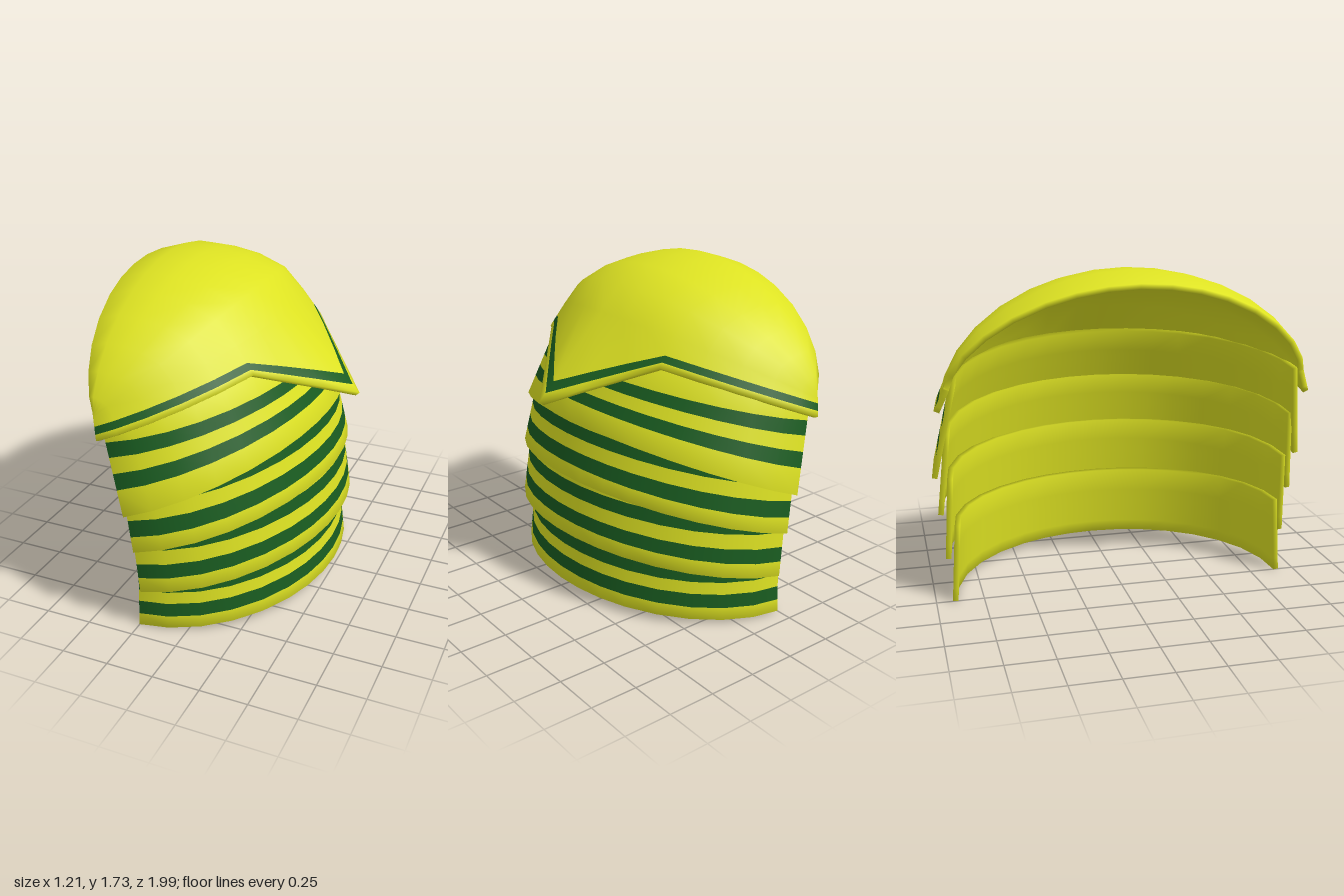
import * as THREE from 'three';

const yellow = new THREE.MeshStandardMaterial({ color: 0xdde222 });
const green = new THREE.MeshStandardMaterial({ color: 0x195c20 });

// Angles around the shoulder, -z end to +z end; the cap's corners fall on 0.512
const half = [0.17, 0.341, 0.512, 0.72, 0.93, 1.14, 1.36, Math.PI / 2];
const angles = [...half.map(a => -a).reverse(), 0, ...half];
const N = angles.length;

const V = (x, y, z = 0) => new THREE.Vector3(x, y, z);

// Arch from end (x, y, ±z) over the middle point on z = 0
function arch(end, mid, a, power = 1) {
  const c = Math.pow(Math.max(0, Math.cos(a)), power);
  return V(end.x + (mid.x - end.x) * c, end.y + (mid.y - end.y) * c, end.z * Math.sin(a));
}

// Thick plate from rows of points (bottom row first); greenRows are row intervals painted green
function plate(name, rows, greenRows, thickness) {
  const R = rows.length;
  const outer = rows.flat();
  const idx = (j, i) => j * N + i;
  const pos = outer.flatMap(p => p.toArray());
  const quad = (list, a, b, c, d) => list.push(a, b, c, a, c, d);

  // Outer faces, sorted by colour
  const faces = { yellow: [], green: [] };
  for (let j = 0; j < R - 1; j++) {
    const list = greenRows.includes(j) ? faces.green : faces.yellow;
    for (let i = 0; i < N - 1; i++) quad(list, idx(j, i), idx(j + 1, i), idx(j + 1, i + 1), idx(j, i + 1));
  }

  // Inner surface, offset along the outer normals
  const skin = new THREE.BufferGeometry();
  skin.setAttribute('position', new THREE.Float32BufferAttribute(pos, 3));
  skin.setIndex([...faces.yellow, ...faces.green]);
  skin.computeVertexNormals();
  const normal = skin.attributes.normal;
  outer.forEach((p, k) => {
    const n = V(0, 0).fromBufferAttribute(normal, k);
    pos.push(...p.clone().addScaledVector(n, -thickness).toArray());
  });
  const inn = (j, i) => R * N + idx(j, i);
  const y = faces.yellow;
  for (let j = 0; j < R - 1; j++) {
    for (let i = 0; i < N - 1; i++) quad(y, inn(j, i), inn(j, i + 1), inn(j + 1, i + 1), inn(j + 1, i));
    // end walls
    quad(y, idx(j + 1, 0), idx(j, 0), inn(j, 0), inn(j + 1, 0));
    quad(y, idx(j, N - 1), idx(j + 1, N - 1), inn(j + 1, N - 1), inn(j, N - 1));
  }
  // bottom and top walls
  for (let i = 0; i < N - 1; i++) {
    quad(y, idx(0, i), idx(0, i + 1), inn(0, i + 1), inn(0, i));
    quad(y, idx(R - 1, i + 1), idx(R - 1, i), inn(R - 1, i), inn(R - 1, i + 1));
  }

  // Shared smooth normals for both colours
  const whole = new THREE.BufferGeometry();
  whole.setAttribute('position', new THREE.Float32BufferAttribute(pos, 3));
  whole.setIndex([...faces.yellow, ...faces.green]);
  whole.computeVertexNormals();
  const group = new THREE.Group();
  group.name = name;
  for (const [part, list, material] of [['Plate', faces.yellow, yellow], ['Stripes', faces.green, green]]) {
    const g = new THREE.BufferGeometry();
    g.setAttribute('position', whole.attributes.position);
    g.setAttribute('normal', whole.attributes.normal);
    g.setIndex(list);
    const mesh = new THREE.Mesh(g, material);
    mesh.name = name + part;
    group.add(mesh);
  }
  return group;
}

// Overlapping arm band with two stripes
function band(name, end0, mid0, end1, mid1, stripes) {
  const rows = [0, ...stripes, 1].map(v => {
    const end = end0.clone().lerp(end1, v), mid = mid0.clone().lerp(mid1, v);
    return angles.map(a => arch(end, mid, a));
  });
  return plate(name, rows, [1, 3], 0.028);
}

// Domed shoulder cap with a pointed lower edge and a border stripe
function cap() {
  const power = 1.25, cornerZ = 0.48;
  const endLow = V(-0.39, 1.07, 0.98), endHigh = V(-0.43, 1.19, 0.93);
  const tip = V(0.6, 1.085), mid = V(0.32, 1.355);
  const corner = arch(endLow, mid, 0.512, power);
  const edge = angles.map(a => {
    const p = arch(endLow, mid, a, power);
    const k = 1 - Math.abs(p.z) / cornerZ;
    if (k <= 0) return p;
    const q = corner.clone().lerp(tip, k);
    q.z = p.z;
    return q;
  });
  // dome rows: middle x, middle y, how far the end sits towards the back rim
  const dome = [
    [0.21, 1.495, 0.7], [0.08, 1.63, 0.8], [-0.1, 1.7, 0.85],
    [-0.28, 1.73, 0.9], [-0.45, 1.735, 0.95], [-0.61, 1.685, 1],
  ].map(([x, y, t]) => {
    const end = endLow.clone().lerp(endHigh, t);
    return angles.map(a => arch(end, V(x, y), a, power));
  });
  // border lines run at a set distance from the edge, wider at the point
  const border = (d, limit) => edge.map((p, i) => {
    const q = dome[0][i];
    const wide = d * (1 + 0.9 * Math.max(0, 1 - Math.abs(p.z) / cornerZ));
    return p.clone().lerp(q, Math.min(limit, wide / p.distanceTo(q)));
  });
  return plate('shoulderCap', [edge, border(0.03, 0.4), border(0.068, 0.8), ...dome], [1], 0.03);
}

export function createModel() {
  const model = new THREE.Group();
  model.name = 'shoulderArmour';
  model.add(
    cap(),
    band('upperBand', V(-0.26, 0.69, 0.995), V(0.44, 0.96), V(-0.42, 1.2, 0.9), V(0.26, 1.33), [0.25, 0.4, 0.55, 0.69]),
    band('secondBand', V(-0.23, 0.48, 0.97), V(0.49, 0.67), V(-0.31, 0.93, 0.93), V(0.39, 1.05), [0.18, 0.37, 0.55, 0.71]),
    band('thirdBand', V(-0.22, 0.23, 0.94), V(0.52, 0.36), V(-0.27, 0.68, 0.92), V(0.455, 0.76), [0.175, 0.35, 0.53, 0.7]),
    band('lowerBand', V(-0.25, 0.003, 0.915), V(0.5, 0.05), V(-0.25, 0.42, 0.89), V(0.445, 0.45), [0.16, 0.34, 0.5, 0.675]),
  );
  return model;
}
